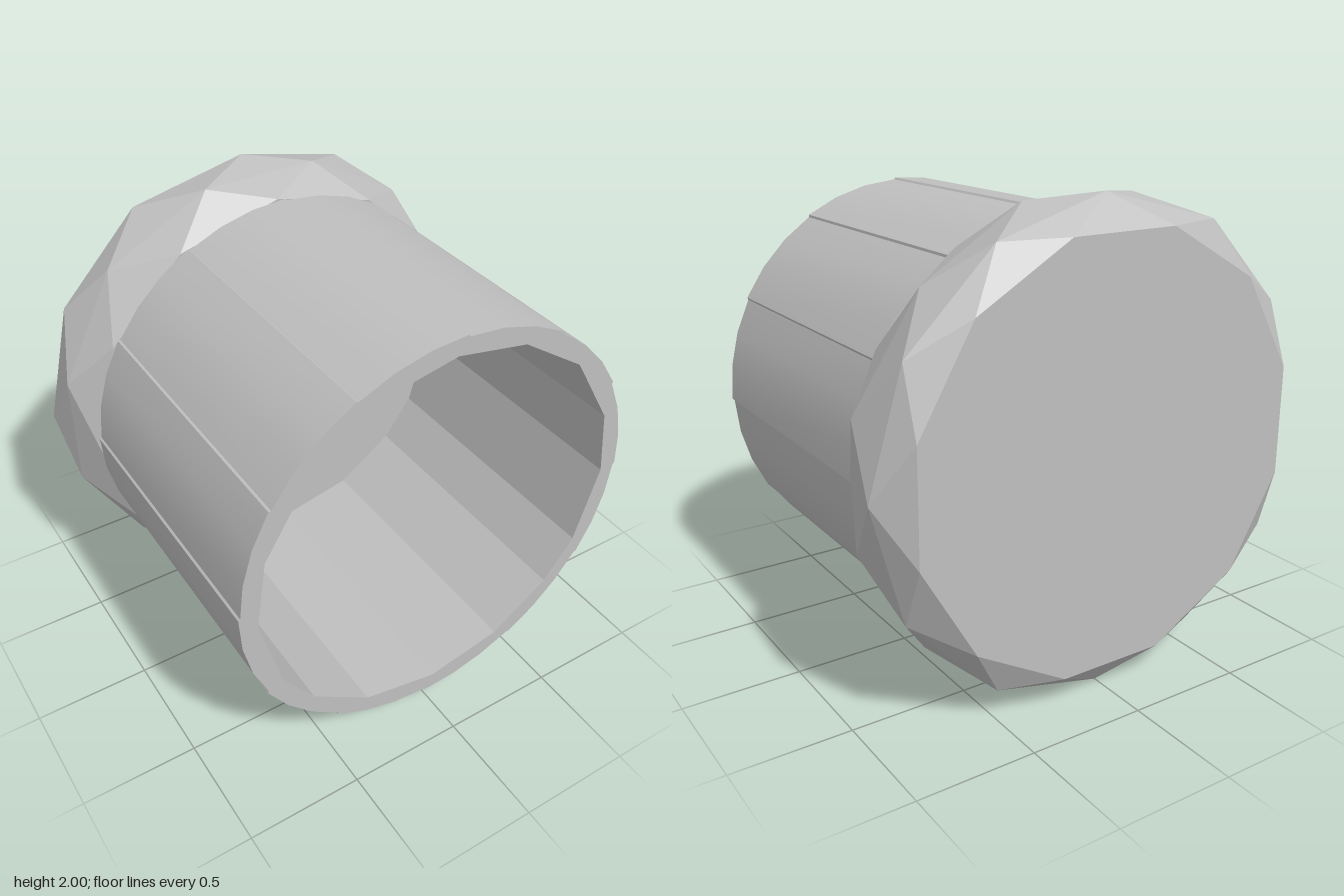
import * as THREE from 'three';
import { toCreasedNormals } from 'three/addons/utils/BufferGeometryUtils.js';

const CENTRE_Y = 1;
const FLOOR_Z = -0.4, FRONT_Z = 0.83;

// Open sleeve: slightly stepped outer panels, coarser faceted bore
function sleeveGeometry() {
  const outer = [];
  const panels = 12, steps = 3;
  for (let p = 0; p < panels; p++) {
    for (let s = 0; s <= steps; s++) {
      const a = ((p + (s / steps) * 0.985) / panels) * Math.PI * 2 - 0.04;
      const r = 0.908 - 0.008 * (s / steps);
      outer.push(new THREE.Vector2(r * Math.cos(a), r * Math.sin(a)));
    }
  }
  const half = [90, 68, 44, 18, -3, -28, -44, -66, -90];
  const angles = [...half, ...half.slice(1, -1).reverse().map((d) => 180 - d)];
  const bore = angles.map((d) => {
    const a = THREE.MathUtils.degToRad(d);
    return new THREE.Vector2(0.832 * Math.cos(a), 0.832 * Math.sin(a));
  });
  const shape = new THREE.Shape(outer);
  shape.holes.push(new THREE.Path(bore));
  const g = new THREE.ExtrudeGeometry(shape, { depth: FRONT_Z - FLOOR_Z, bevelEnabled: false });
  g.translate(0, 0, FLOOR_Z);
  return toCreasedNormals(g, 0.32);
}

// Faceted cap: four staggered rings of twelve points, closed at both ends
function capGeometry() {
  const n = 12;
  const profile = [[0.9, -0.827, 0], [1, -0.73, 0.025], [1, -0.555, 0.025], [0.915, FLOOR_Z, 0]];
  const rings = profile.map(([r, z, wobble], k) =>
    Array.from({ length: n }, (_, i) => {
      const a = ((i + (k % 2 ? 0 : 0.5)) / n) * Math.PI * 2;
      return new THREE.Vector3(r * Math.cos(a), r * Math.sin(a), z + wobble * Math.sin(i * 2.3 + k));
    }));
  const pos = [];
  const tri = (...v) => v.forEach((p) => pos.push(p.x, p.y, p.z));
  const back = new THREE.Vector3(0, 0, profile[0][1]);
  const front = new THREE.Vector3(0, 0, FLOOR_Z);
  for (let i = 0; i < n; i++) {
    const j = (i + 1) % n;
    for (let k = 0; k < 3; k++) {
      const A = rings[k], B = rings[k + 1];
      if (k % 2) {
        tri(A[i], A[j], B[i]);
        tri(A[j], B[j], B[i]);
      } else {
        tri(A[i], A[j], B[j]);
        tri(A[i], B[j], B[i]);
      }
    }
    tri(back, rings[0][j], rings[0][i]);
    tri(front, rings[3][i], rings[3][j]);
  }
  const g = new THREE.BufferGeometry();
  g.setAttribute('position', new THREE.Float32BufferAttribute(pos, 3));
  g.computeVertexNormals(); // unshared corners give flat facets
  return g;
}

export function createModel() {
  const group = new THREE.Group();
  group.name = 'plugCap';
  const grey = new THREE.MeshStandardMaterial({ color: 0xbfbfbf });
  grey.name = 'grey';
  const add = (name, geometry) => {
    const mesh = new THREE.Mesh(geometry, grey);
    mesh.name = name;
    mesh.position.y = CENTRE_Y;
    group.add(mesh);
  };
  add('sleeve', sleeveGeometry());
  add('cap', capGeometry());
  return group;
}
